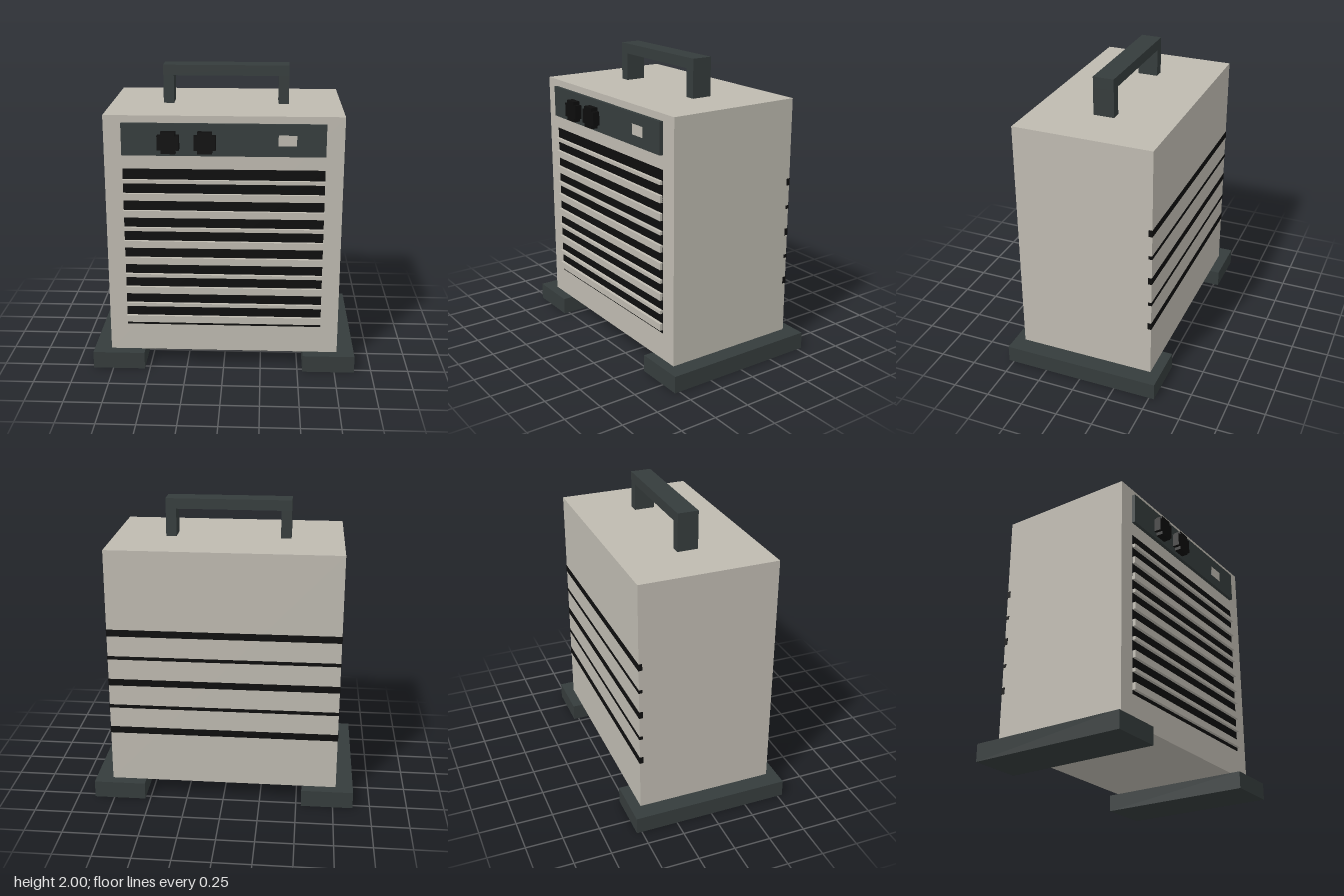
import * as THREE from 'three';

const U = 2 / 86; // one grid step; the heater is 86 steps tall
const E = 0.1; // thickness of painted plates, in steps

const mat = (name, color) => {
  const m = new THREE.MeshStandardMaterial({ color });
  m.name = name;
  return m;
};

export function createModel() {
  const beige = mat('warm grey casing', 0xbebab0);
  const slate = mat('dark slate', 0x353c3c);
  const black = mat('black', 0x0d0d0d);
  const model = new THREE.Group();
  model.name = 'spaceHeater';

  // Box given by its extents in grid steps
  const box = (parent, name, material, [x0, x1], [y0, y1], [z0, z1]) => {
    const mesh = new THREE.Mesh(
      new THREE.BoxGeometry((x1 - x0) * U, (y1 - y0) * U, (z1 - z0) * U), material);
    mesh.position.set((x0 + x1) / 2 * U, (y0 + y1) / 2 * U, (z0 + z1) / 2 * U);
    mesh.name = name;
    parent.add(mesh);
  };
  const group = (name) => {
    const g = new THREE.Group();
    g.name = name;
    model.add(g);
    return g;
  };

  box(model, 'casing', beige, [-33, 33], [5, 75], [-20, 20]);

  // Feet
  box(model, 'leftFoot', slate, [23, 38], [0, 5], [-23, 23]);
  box(model, 'rightFoot', slate, [-38, -23], [0, 5], [-23, 23]);

  // Carrying handle
  const handle = group('handle');
  box(handle, 'handleBar', slate, [-18, 18], [83, 86], [-3, 3]);
  for (const x of [-18, 15]) box(handle, 'handlePost', slate, [x, x + 3], [75, 83], [-3, 3]);

  // Control panel with two notched knobs and a switch
  const panel = group('controls');
  box(panel, 'controlPanel', slate, [-28, 28], [64, 73], [20, 21]);
  box(panel, 'switchPlate', beige, [15, 20], [67, 70], [21, 21 + E]);
  for (const x of [-18, -8]) {
    box(panel, 'knobCore', black, [x + 1, x + 5], [65, 71], [21, 23]);
    for (const side of [x, x + 5]) {
      box(panel, 'knobSide', black, [side, side + 1], [66, 70], [21, 23]);
    }
  }

  // Front grille: dark opening crossed by slats of alternating height
  const grille = group('grille');
  box(grille, 'grilleOpening', black, [-28, 28], [13, 60], [20, 20 + E]);
  const slats = [[14, 2], [19, 1], [23, 2], [28, 1], [32, 2], [37, 2], [42, 1], [46, 2], [51, 2], [56, 1]];
  for (const [y, h] of slats) box(grille, 'slat', beige, [-28, 28], [y, y + h], [20, 21]);

  // Rear vents, wrapping just around the back corners
  const vents = group('rearVents');
  for (const [y, h] of [[20, 2], [28, 1], [35, 2], [43, 1], [50, 2]]) {
    box(vents, 'rearVent', black, [-33 - E, 33 + E], [y, y + h], [-20 - E, -19]);
  }

  return model;
}
